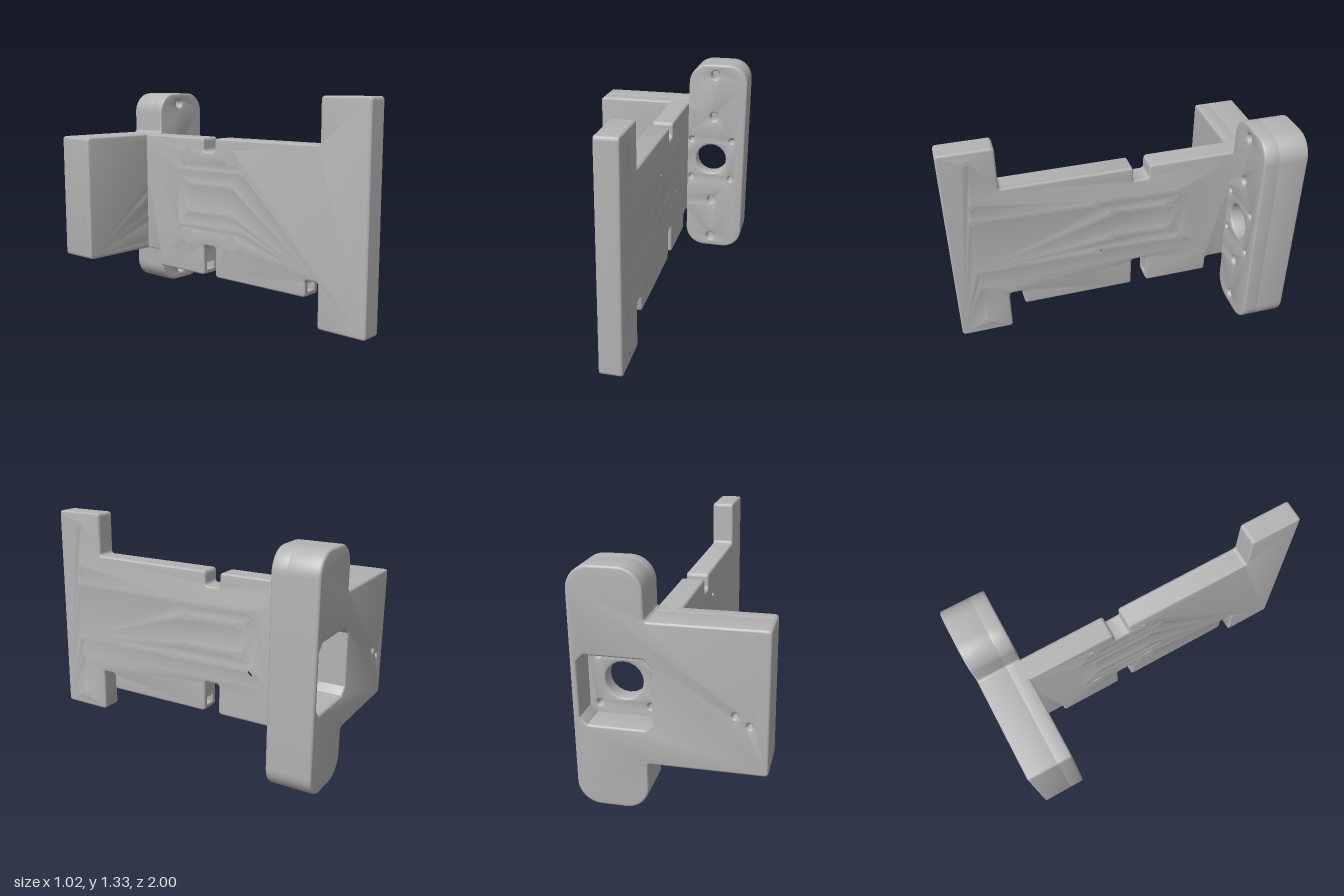
import * as THREE from 'three';
import { toCreasedNormals } from 'three/addons/utils/BufferGeometryUtils.js';

const BEVEL = 0.012;

// Polygon with rounded corners; a point may carry its own radius as third value.
function roundedShape(points, radius = 0.02) {
  const shape = new THREE.Shape();
  const n = points.length;
  points.forEach(([x, y, r = radius], i) => {
    const corner = new THREE.Vector2(x, y);
    const toward = ([px, py]) => {
      const d = new THREE.Vector2(px, py).sub(corner);
      return d.setLength(Math.min(r, d.length() * 0.49)).add(corner);
    };
    const a = toward(points[(i + n - 1) % n]);
    const b = toward(points[(i + 1) % n]);
    if (i === 0) shape.moveTo(a.x, a.y);
    else shape.lineTo(a.x, a.y);
    // cubic close to a circular fillet
    const k = 0.552;
    const c1 = a.clone().lerp(corner, k), c2 = b.clone().lerp(corner, k);
    shape.bezierCurveTo(c1.x, c1.y, c2.x, c2.y, b.x, b.y);
  });
  shape.closePath();
  return shape;
}

function drill(shape, holes) {
  for (const [x, y, r] of holes) {
    shape.holes.push(new THREE.Path().absarc(x, y, r, 0, Math.PI * 2, true));
  }
  return shape;
}

// Extrusion from depth a to depth b, with optional softened edges kept inside the outline.
function slab(shape, a, b, bevel = BEVEL) {
  const geo = new THREE.ExtrudeGeometry(shape, {
    depth: b - a - 2 * bevel, curveSegments: 10,
    bevelEnabled: bevel > 0, bevelThickness: bevel, bevelSize: bevel,
    bevelOffset: -bevel, bevelSegments: 3,
  });
  geo.translate(0, 0, a + bevel);
  return toCreasedNormals(geo, 0.6);
}

export function createModel() {
  const model = new THREE.Group();
  model.name = 'motorBracket';
  const grey = new THREE.MeshStandardMaterial({ color: 0xb4b4b4 });
  grey.name = 'grey plastic';

  const add = (parent, name, geo) => {
    const mesh = new THREE.Mesh(geo, grey);
    mesh.name = name;
    parent.add(mesh);
  };

  // ---- Upright side plate: layers across x, drawn in (z, y) ----
  const plate = new THREE.Group();
  plate.name = 'sidePlate';
  model.add(plate);
  const flip = (list) => list.map(([z, ...rest]) => [-z, ...rest]);
  const layer = (name, shapes, holes, x0, x1, bevel) => {
    drill(Array.isArray(shapes) ? shapes[0] : shapes, flip(holes));
    add(plate, name, slab(shapes, x0, x1, bevel).rotateY(Math.PI / 2));
  };

  const topEdge = [
    [1, 0], [1, 1.33], [0.68, 1.33], [0.68, 1.06], [-0.11, 1.06], [-0.11, 0.97],
    [-0.21, 0.97], [-0.21, 1.06], [-0.8, 1.06], [-0.8, 0.275],
  ];
  const outline = () => roundedShape(flip([
    ...topEdge, [-0.62, 0.275], [-0.62, 0.17], [-0.21, 0.17], [-0.21, 0.365],
    [-0.11, 0.365], [-0.11, 0.17], [0.59, 0.17], [0.59, 0.275], [0.68, 0.275], [0.68, 0],
  ]));
  // core leaves a cable channel open along the lower edge
  const core = () => [
    roundedShape(flip([
      ...topEdge, [-0.62, 0.275, 0], [-0.62, 0.25, 0], [-0.21, 0.25, 0], [-0.21, 0.365],
      [-0.11, 0.365], [-0.11, 0.25, 0], [0.59, 0.25, 0], [0.59, 0.275, 0], [0.68, 0.275], [0.68, 0],
    ])),
    roundedShape(flip([[-0.62, 0.17], [-0.62, 0.2, 0], [-0.21, 0.2, 0], [-0.21, 0.17]])),
    roundedShape(flip([[-0.11, 0.17], [-0.11, 0.2, 0], [0.59, 0.2, 0], [0.59, 0.17]])),
  ];

  const screwSpots = [];
  for (const [z, dy] of [[0.11, 0.18], [0.02, 0.09], [-0.34, 0.09], [-0.43, 0.18]]) {
    for (const s of [-1, 1]) screwSpots.push([z, 0.668 + s * dy]);
  }
  const screws = (r) => screwSpots.map(([z, y]) => [z, y, r]);
  const blind = (r) => [
    ...[1.26, 0.97, 0.36, 0.075].map((y) => [0.845, y, r]),
    ...[0.855, 0.48].map((y) => [0.855, y, r * 0.93]),
    ...[0.63, -0.56].flatMap((z) => [0.405, 0.32].map((y) => [z, y, 0.011])),
  ];
  const pockets = [0.02, -0.35].flatMap((z) => [0.94, 0.41].map((y) => [z, y, 0.062]));

  layer('plateInnerSkin', outline(), [...screws(0.026), ...pockets], -0.02, 0.02);
  layer('plateInnerCore', core(), [...screws(0.026), ...pockets], 0.005, 0.05, 0);
  layer('plateOuterCore', core(), [...screws(0.036), ...blind(0.03)], 0.04, 0.09, 0);
  layer('plateOuterSkin', outline(), [...screws(0.036), ...blind(0.03)], 0.075, 0.115);

  // ---- Motor mount: rounded upright joined to a square block, layers along z ----
  const mount = new THREE.Group();
  mount.name = 'motorMount';
  model.add(mount);
  const mountOutline = () => roundedShape([
    [0.51, 0, 0.13], [0.51, 1.33, 0.13], [0.115, 1.33, 0.13], [0.115, 1.06],
    [-0.515, 1.06], [-0.515, 0.275], [0.115, 0.275], [0.115, 0, 0.13],
  ]);

  // front face: shaft opening, four motor screws and blind fixing holes
  const cx = 0.28, cy = 0.665;
  const face = drill(mountOutline(), [
    [cx, cy, 0.104],
    ...[-1, 1].flatMap((i) => [-1, 1].map((j) => [cx + i * 0.139, cy + j * 0.139, 0.016])),
    ...[1.26, 0.97, 0.36, 0.075].map((y) => [0.292, y, 0.028]),
  ]);
  add(mount, 'mountFace', slab(face, -0.835, -0.735));

  // back: motor pocket with cut corners and two pilot holes
  const back = drill(mountOutline(), [[-0.34, 0.6, 0.014], [-0.415, 0.55, 0.014]]);
  const h = 0.195, c = 0.155;
  back.holes.push(new THREE.Path([
    [h, c], [c, h], [-c, h], [-h, c], [-h, -c], [-c, -h], [c, -h], [h, -c],
  ].map(([x, y]) => new THREE.Vector2(cx + x, cy + y))));
  add(mount, 'mountBack', slab(back, -1, -0.81));

  return model;
}
